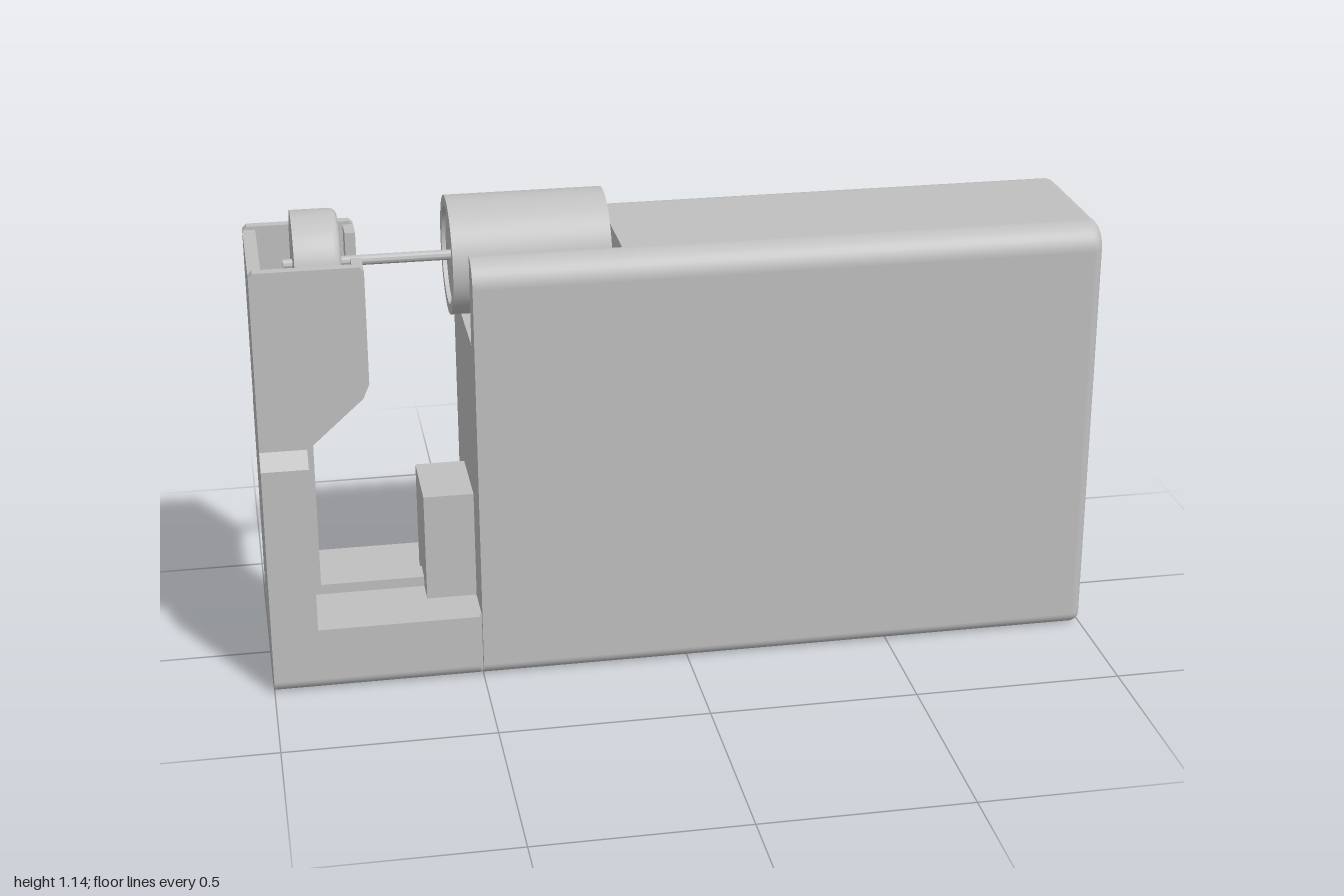
import * as THREE from 'three';
import { toCreasedNormals } from 'three/addons/utils/BufferGeometryUtils.js';

const W = 0.22, TOP = 1.047, END_R = 0.025, RB = 0.03, RT = 0.062;

// Closed cross-section (z, y) with rounded bottom and top corners, inset by d
function bodySection(d = 0, notch = []) {
  const pts = [];
  const corner = (cx, cy, r, a0) => {
    for (let i = 0; i <= 8; i++) {
      const a = a0 + (i / 8) * Math.PI / 2;
      pts.push(new THREE.Vector2(cx + r * Math.cos(a), cy + r * Math.sin(a)));
    }
  };
  corner(-W + RB, RB, RB - d, Math.PI);
  corner(W - RB, RB, RB - d, Math.PI * 1.5);
  corner(W - RT, TOP - RT, RT - d, 0);
  pts.push(...vecs(notch));
  corner(-W + RT, TOP - RT, RT - d, Math.PI / 2);
  return pts;
}

// Bracket cross-section: the body's rounded bottom with the given top points
function bracketSection(top) {
  return [...bodySection().slice(0, 18), ...vecs(top)];
}

function vecs(list) {
  return list.map(([x, y]) => new THREE.Vector2(x, y));
}

// Exact normals on the rounded corners, so flat faces stay flat
function roundNormals(g) {
  const p = g.attributes.position, n = g.attributes.normal;
  for (let i = 0; i < p.count; i++) {
    const x = p.getX(i), y = p.getY(i), z = p.getZ(i);
    const low = y < RB + 1e-4, r = low ? RB : RT;
    const onCorner = Math.abs(z) > W - r - 1e-3 && (low || y > TOP - RT - 1e-4);
    if (!onCorner || Math.abs(n.getX(i)) > 0.999) continue;
    const radial = new THREE.Vector2(y - (low ? RB : TOP - RT), z - Math.sign(z) * (W - r)).normalize();
    const s = THREE.MathUtils.clamp((x - 1 + END_R) / END_R, 0, 1), c = Math.sqrt(1 - s * s);
    n.setXYZ(i, s, radial.x * c, radial.y * c);
  }
  return g;
}

// Extrude a (z, y) section along x from x0 to x1
function alongX(pts, x0, x1, hole) {
  const shape = new THREE.Shape(pts);
  if (hole) shape.holes.push(new THREE.Path(hole));
  const g = new THREE.ExtrudeGeometry(shape, { depth: x1 - x0, bevelEnabled: false });
  return roundNormals(g.rotateY(Math.PI / 2).translate(x0, 0, 0));
}

// Quarter-round edge that closes the far end of the body
function endRounding() {
  const pos = [], idx = [], steps = 6, n = bodySection().length;
  for (let k = 0; k <= steps; k++) {
    const a = (k / steps) * Math.PI / 2;
    bodySection(END_R * (1 - Math.cos(a)))
      .forEach((p) => pos.push(p.x, p.y, 1 - END_R + END_R * Math.sin(a)));
  }
  for (let k = 0; k < steps; k++) {
    for (let i = 0; i < n; i++) {
      const a = k * n + i, b = k * n + (i + 1) % n;
      idx.push(a, b, b + n, a, b + n, a + n);
    }
  }
  const indexed = new THREE.BufferGeometry();
  indexed.setAttribute('position', new THREE.Float32BufferAttribute(pos, 3));
  indexed.setIndex(idx);
  const g = indexed.rotateY(Math.PI / 2).toNonIndexed();
  g.computeVertexNormals();
  return roundNormals(g);
}

// Slot walls through the rounded end
function slotMouth(slot) {
  const pos = [], x0 = 1 - END_R;
  slot.forEach((p, i) => {
    const q = slot[(i + 1) % slot.length];
    pos.push(x0, p.y, -p.x, 1, q.y, -q.x, x0, q.y, -q.x);
    pos.push(x0, p.y, -p.x, 1, p.y, -p.x, 1, q.y, -q.x);
  });
  const g = new THREE.BufferGeometry();
  g.setAttribute('position', new THREE.Float32BufferAttribute(pos, 3));
  g.computeVertexNormals();
  return g;
}

// Turned part around the x axis at shaft height; profile is [radius, x] with x rising
function turned(profile) {
  const g = new THREE.LatheGeometry(vecs(profile), 64);
  return toCreasedNormals(g.rotateZ(-Math.PI / 2).translate(0, 1, 0), 0.5);
}

function box(x0, x1, y0, y1, z0, z1) {
  return new THREE.BoxGeometry(x1 - x0, y1 - y0, z1 - z0)
    .translate((x0 + x1) / 2, (y0 + y1) / 2, (z0 + z1) / 2);
}

// Extrude an (x, y) outline across z
function acrossZ(list, z0, z1) {
  return new THREE.ExtrudeGeometry(new THREE.Shape(vecs(list)), { depth: z1 - z0, bevelEnabled: false })
    .translate(0, 0, z0);
}

export function createModel() {
  const model = new THREE.Group();
  const grey = new THREE.MeshStandardMaterial({ color: 0xc0c0c0 });
  grey.name = 'light grey';
  const add = (name, geometry, parent = model) => {
    const mesh = new THREE.Mesh(geometry, grey);
    mesh.name = name;
    parent.add(mesh);
  };
  const group = (name) => {
    const g = new THREE.Group();
    g.name = name;
    model.add(g);
    return g;
  };

  // Main body with motor recess on top and a T-shaped slot in the end
  const body = group('body');
  const recess = [[0.156, TOP], [0.156, 0.83], [-0.156, 0.83], [-0.156, TOP]];
  const slot = vecs([[-0.083, 0.027], [0.083, 0.027], [0.083, 0.04], [0.152, 0.04],
    [0.152, 0.215], [-0.152, 0.215], [-0.152, 0.04], [-0.083, 0.04]]);
  add('motorEnd', alongX(bodySection(0, recess), -0.5, -0.145), body);
  add('middle', alongX(bodySection(), -0.145, 0.4), body);
  add('slotEnd', alongX(bodySection(), 0.4, 1 - END_R, slot), body);
  add('endRounding', endRounding(), body);
  const cap = new THREE.Shape(bodySection(END_R));
  cap.holes.push(new THREE.Path(slot));
  add('endFace', new THREE.ShapeGeometry(cap).rotateY(Math.PI / 2).translate(1, 0, 0), body);
  add('slotMouth', slotMouth(slot), body);

  // Motor with stepped front face, and its shaft
  add('motor', turned([[0, -0.525], [0.115, -0.525], [0.115, -0.535], [0.14, -0.535],
    [0.14, -0.165], [0, -0.165]]));
  add('shaft', turned([[0, -0.915], [0.012, -0.915], [0.012, -0.52], [0, -0.52]]));

  // Roller with rounded rim and hollow face
  const rim = [[0, -0.893], [0.125, -0.893]];
  for (let i = 0; i <= 5; i++) {
    const a = (i / 5) * Math.PI / 2;
    rim.push([0.107 + 0.018 * Math.cos(a), -0.803 + 0.018 * Math.sin(a)]);
  }
  rim.push([0.065, -0.785], [0.065, -0.82], [0, -0.82]);
  add('roller', turned(rim));

  // L-shaped bracket: base, column, guide ribs and plug block
  const bracket = group('bracket');
  add('base', alongX(bracketSection([[W, 0.16], [-W, 0.16]]), -0.89, -0.506), bracket);
  add('column', alongX(bracketSection([[W, 0.575], [0.178, 0.61], [-0.178, 0.61], [-W, 0.575]]),
    -1, -0.89), bracket);
  add('collar', box(-0.51, -0.495, 0.01, 0.158, -0.205, 0.205), bracket);
  add('columnRib', box(-0.9, -0.87, 0.15, 0.63, -0.03, 0.03), bracket);
  add('floorRib', box(-0.88, -0.61, 0.15, 0.185, -0.03, 0.03), bracket);
  add('plugBlock', box(-0.62, -0.49, 0.15, 0.428, -0.1, 0.1), bracket);

  // Roller holder: solid foot below an open-topped box
  const holder = group('rollerHolder');
  const lower = [[-1, 0.605], [-0.89, 0.605], [-0.755, 0.725], [-0.74, 0.76]];
  add('holderFoot', acrossZ([...lower, [-0.74, 0.8], [-1, 0.8]], -0.155, 0.155), holder);
  const side = [...lower, [-0.74, 1.035], [-0.75, 1.045], [-0.99, 1.045], [-1, 1.035]];
  for (const s of [-1, 1]) {
    add('holderSide', acrossZ(side, s < 0 ? -0.18 : 0.155, s < 0 ? -0.155 : 0.18), holder);
    add('holderJamb', box(-0.765, -0.74, 0.8, 1.037, s < 0 ? -0.155 : 0.09, s < 0 ? -0.09 : 0.155), holder);
  }
  add('holderBack', box(-1, -0.97, 0.8, 1.037, -0.155, 0.155), holder);

  return model;
}
